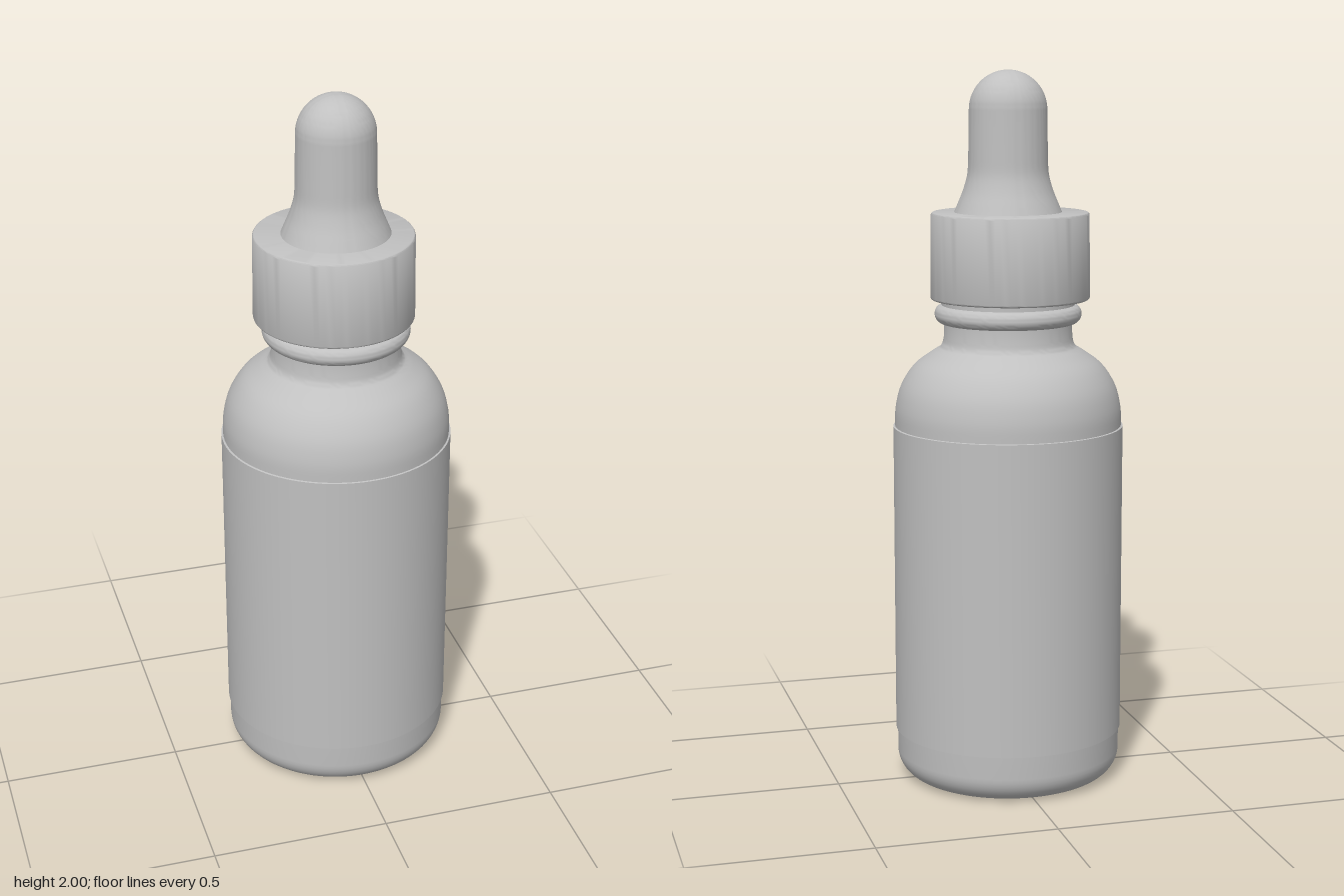
import * as THREE from 'three';
import { toCreasedNormals } from 'three/addons/utils/BufferGeometryUtils.js';

const SEGMENTS = 96;

// Quarter-round from startAngle to endAngle about (cx, cy)
function arc(cx, cy, rx, ry, startAngle, endAngle, steps = 10) {
  const points = [];
  for (let i = 0; i <= steps; i++) {
    const a = startAngle + (endAngle - startAngle) * i / steps;
    points.push([Math.max(0, cx + rx * Math.cos(a)), cy + ry * Math.sin(a)]);
  }
  return points;
}

// Smooth curve through a few profile points
function smooth(points, steps = 24) {
  const curve = new THREE.SplineCurve(points.map(([x, y]) => new THREE.Vector2(x, y)));
  return curve.getPoints(steps).map(p => [p.x, p.y]);
}

// Turned part with crisp edges, slightly flattened front to back if asked
function turned(name, profile, material, depth = 1) {
  const geometry = new THREE.LatheGeometry(profile.map(([x, y]) => new THREE.Vector2(x, y)), SEGMENTS);
  geometry.scale(1, 1, depth);
  const mesh = new THREE.Mesh(toCreasedNormals(geometry, 0.6), material);
  mesh.name = name;
  return mesh;
}

export function createModel() {
  const model = new THREE.Group();
  model.name = 'dropperBottle';
  const grey = new THREE.MeshStandardMaterial({ color: 0xc0c0c0 });
  grey.name = 'plain grey';
  const Q = Math.PI / 2;

  // Bottle: flat base, rounded heel, straight wall, round shoulder, neck
  model.add(turned('bottle', [
    [0, 0.005], [0.22, 0.005], [0.235, 0],
    ...arc(0.245, 0.075, 0.073, 0.075, -Q, 0),
    [0.318, 0.3], [0.318, 0.8],
    ...smooth([[0.318, 1.02], [0.316, 1.07], [0.3, 1.13], [0.264, 1.185], [0.215, 1.222], [0.188, 1.24], [0.18, 1.265]]),
    [0.179, 1.31], [0.179, 1.4], [0, 1.4],
  ], grey, 0.978));

  // Wrap-around label, barely proud of the glass
  model.add(turned('label', [
    [0.316, 0.138], [0.323, 0.14], [0.323, 0.58], [0.323, 1.015], [0.316, 1.017],
  ], grey, 0.976));

  // Rounded bead below the cap
  model.add(turned('neckBead', [
    [0.175, 1.303], ...arc(0.181, 1.33, 0.024, 0.026, -Q, Q, 14), [0.175, 1.357],
  ], grey));

  // Thin band between bead and cap
  model.add(turned('sealBand', [
    [0.17, 1.352], [0.186, 1.354], [0.186, 1.372], [0.17, 1.374],
  ], grey));

  const dropper = new THREE.Group();
  dropper.name = 'dropper';

  // Screw cap with softened rims
  const cap = turned('cap', [
    [0, 1.378], [0.195, 1.378], [0.2, 1.37],
    ...arc(0.214, 1.376, 0.008, 0.006, -Q, 0, 4),
    ...arc(0.212, 1.604, 0.008, 0.008, 0, Q, 4),
    [0, 1.612],
  ], grey);
  cap.position.x = -0.006;
  dropper.add(cap);

  // Rubber bulb with flared foot and domed tip
  dropper.add(turned('bulb', [
    ...smooth([[0.152, 1.606], [0.14, 1.635], [0.125, 1.672], [0.113, 1.715], [0.11, 1.76]], 16),
    ...arc(0, 1.892, 0.108, 0.108, 0, Q, 20),
  ], grey, 0.975));

  model.add(dropper);
  return model;
}
